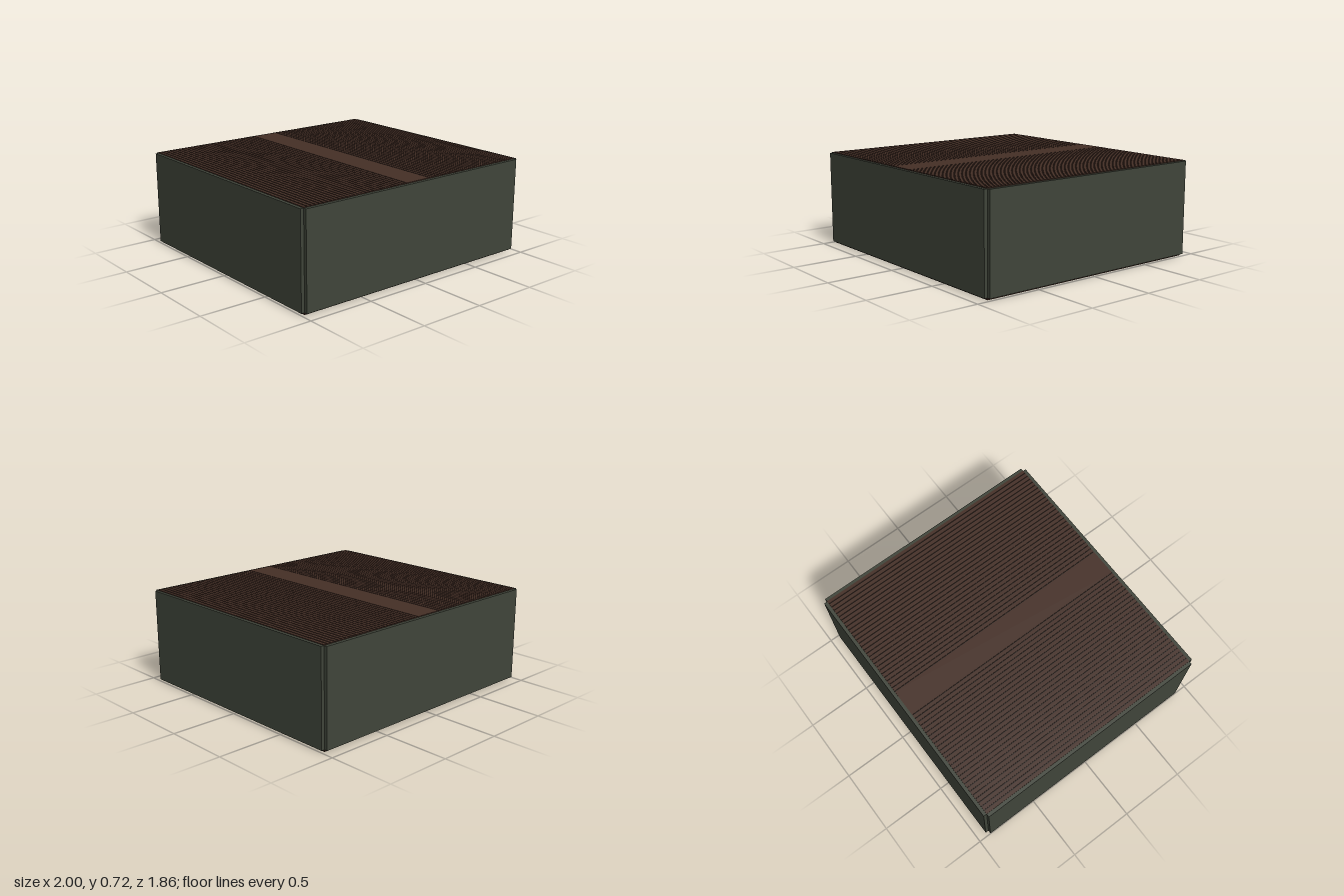
import * as THREE from 'three';

const flat = (name, color) => {
  const m = new THREE.MeshStandardMaterial({ color });
  m.name = name;
  return m;
};

export function createModel() {
  const room = new THREE.Group();
  room.name = 'room';
  const wall = flat('green plaster', 0x40453a);
  const wood = flat('brown wood', 0x452f26);
  const floorWood = flat('floor wood', 0x3d2922);
  const beamWood = flat('beam wood', 0x55382b);
  const glass = flat('window glass', 0x566155);
  const dark = flat('dark trim', 0x241d18);

  // Box given by its minimum and maximum on each axis
  const box = (name, mat, x0, x1, y0, y1, z0, z1, parent = room) => {
    const mesh = new THREE.Mesh(new THREE.BoxGeometry(x1 - x0, y1 - y0, z1 - z0), mat);
    mesh.position.set((x0 + x1) / 2, (y0 + y1) / 2, (z0 + z1) / 2);
    mesh.name = name;
    parent.add(mesh);
    return mesh;
  };

  // Four separate wall panels with open notches at the corners
  box('rightWall', wall, -1, -0.975, 0.015, 0.712, -0.903, 0.903);
  box('leftWall', wall, 0.975, 1, 0.015, 0.712, -0.903, 0.903);
  box('backWall', wall, -0.975, 0.975, 0.015, 0.712, -0.928, -0.903);
  box('frontWall', wall, -0.975, 0.975, 0.015, 0.712, 0.903, 0.928);

  // Floor around the stair opening
  box('floorLeft', floorWood, 0.08, 0.975, 0, 0.015, -0.903, 0.903);
  box('floorBack', floorWood, -0.975, 0.08, 0, 0.015, -0.903, -0.565);
  box('floorFront', floorWood, -0.975, 0.08, 0, 0.015, 0.56, 0.903);

  // Ceiling: a thin core with narrow boards above and below
  const ceiling = new THREE.Group();
  ceiling.name = 'ceiling';
  room.add(ceiling);
  box('ceilingCore', wood, -0.975, 0.975, 0.703, 0.712, -0.903, 0.903, ceiling);
  box('ceilingMiddle', wood, -0.105, 0.105, 0.698, 0.718, -0.903, 0.903, ceiling);
  const count = 27, pitch = 0.87 / count;
  for (let i = 0; i < count; i++) {
    const x = 0.105 + i * pitch;
    for (const s of [-1, 1]) {
      const a = s * (x + 0.007), b = s * (x + pitch);
      box('ceilingBoard', wood, Math.min(a, b), Math.max(a, b), 0.698, 0.718, -0.903, 0.903, ceiling);
      box('boardGroove', dark, s * (x + 0.0035) - 0.0035, s * (x + 0.0035) + 0.0035,
        0.7025, 0.7125, -0.903, 0.903, ceiling);
    }
  }

  // Ceiling beams resting on posts against the front and back walls
  const beams = [0.93, 0.61, 0.28];
  for (const x of beams) {
    box('ceilingBeam', beamWood, x - 0.022, x + 0.022, 0.665, 0.698, -0.903, 0.903);
    for (const s of [-1, 1]) {
      const z = s * 0.885;
      box('wallPost', beamWood, x - 0.022, x + 0.022, 0.015, 0.665, z - 0.018, z + 0.018);
    }
  }

  // Lattice windows between the posts of the front wall
  const addWindow = (x0, x1, y0, y1) => {
    const g = new THREE.Group();
    g.name = 'window';
    room.add(g);
    box('windowPane', glass, x0, x1, y0, y1, 0.897, 0.903, g);
    const cols = Math.max(2, Math.round((x1 - x0) / 0.065)), rows = 4;
    for (let i = 0; i <= cols; i++) {
      const x = x0 + (x1 - x0) * i / cols;
      box('uprightBar', dark, x - 0.006, x + 0.006, y0, y1, 0.886, 0.902, g);
    }
    for (let j = 0; j <= rows; j++) {
      const y = y0 + (y1 - y0) * j / rows;
      box('crossBar', dark, x0, x1, y - 0.006, y + 0.006, 0.888, 0.902, g);
    }
    box('windowSill', beamWood, x0 - 0.015, x1 + 0.015, y0 - 0.025, y0 - 0.006, 0.865, 0.903, g);
  };
  addWindow(0.66, 0.88, 0.35, 0.63);
  addWindow(0.33, 0.56, 0.35, 0.63);
  addWindow(0.09, 0.24, 0.35, 0.63);

  // Rails along the left wall
  for (const y of [0.64, 0.57, 0.25]) {
    box('wallRail', beamWood, 0.96, 0.975, y - 0.01, y + 0.01, -0.903, 0.903);
  }

  // Small bracket shelf on the last post
  box('shelfTop', dark, 0.2, 0.36, 0.41, 0.43, 0.79, 0.87);
  box('shelfBracket', dark, 0.265, 0.295, 0.35, 0.41, 0.82, 0.87);

  return room;
}
